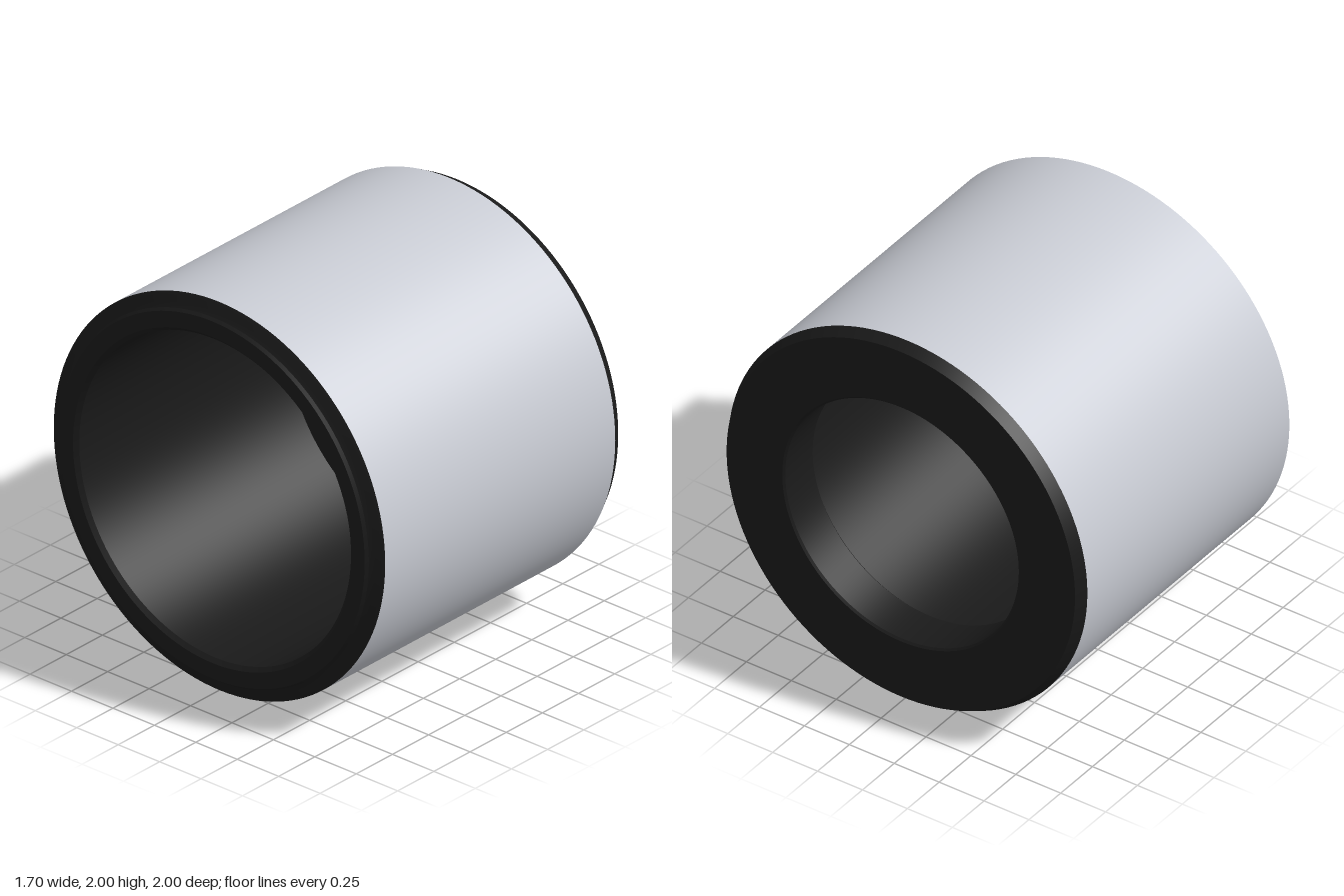
import * as THREE from 'three';
import { toCreasedNormals } from 'three/addons/utils/BufferGeometryUtils.js';

// Revolves [x, radius] points around the x axis
function revolve(name, profile, color) {
  const points = profile.map(([x, r]) => new THREE.Vector2(r, x));
  const geometry = toCreasedNormals(new THREE.LatheGeometry(points, 128), 0.3);
  geometry.rotateZ(-Math.PI / 2);
  geometry.translate(0, 1, 0);
  const mesh = new THREE.Mesh(geometry, new THREE.MeshStandardMaterial({ color, side: THREE.DoubleSide }));
  mesh.name = name;
  return mesh;
}

export function createModel() {
  const group = new THREE.Group();
  group.name = 'bushing';

  // Light metal outer wall
  group.add(revolve('outerSleeve', [[-0.8, 1], [0.79, 1]], 0xc8cbd3));

  // Dark liner: chamfered lipped end, wide bore, then the open end with its hollow bevel
  group.add(revolve('liner', [
    [0.79, 1], [0.845, 0.97], [0.845, 0.66], [0.835, 0.65],
    [0.62, 0.65], [0.6, 0.67], [0.6, 0.82],
    [-0.83, 0.82], [-0.85, 0.84], [-0.85, 0.92],
    [-0.835, 0.932], [-0.82, 0.955], [-0.81, 0.985], [-0.8, 1],
  ], 0x1a1a1a));

  return group;
}
